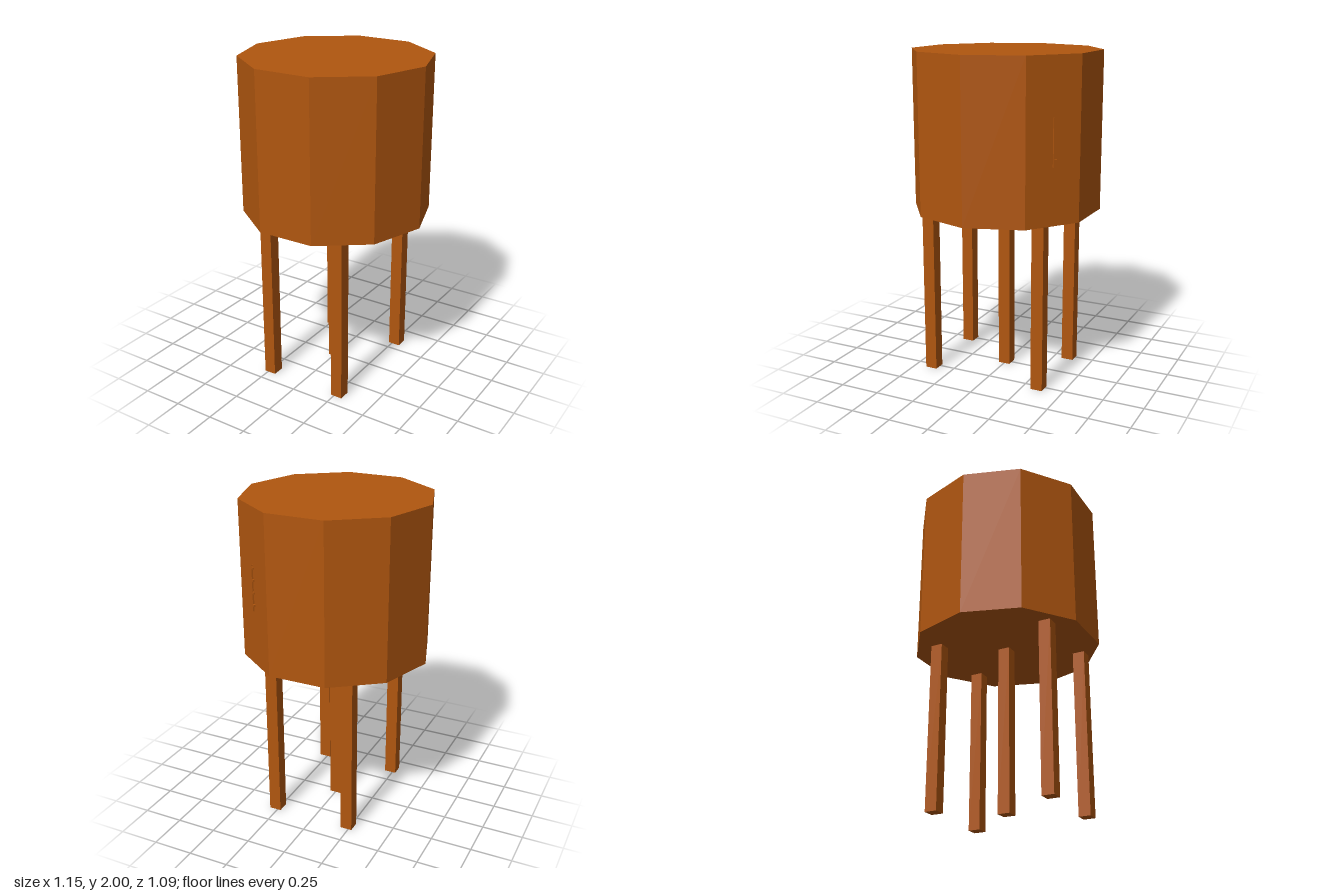
import * as THREE from 'three';

export function createModel() {
  const model = new THREE.Group();
  const wood = new THREE.MeshStandardMaterial({ color: 0xb0560f });
  wood.name = 'warm brown';

  function add(parent, name, geometry, x, y, z) {
    const mesh = new THREE.Mesh(geometry, wood);
    mesh.name = name;
    mesh.position.set(x, y, z);
    parent.add(mesh);
    return mesh;
  }

  // Ten-sided drum with corners on the x axis
  const radius = 0.575, bottom = 1.04, top = 2;
  const drum = new THREE.CylinderGeometry(radius, radius, top - bottom, 10, 1, false, Math.PI / 10).toNonIndexed();
  drum.computeVertexNormals();
  add(model, 'body', drum, 0, (top + bottom) / 2, 0);

  // Four outer legs and one in the middle
  const legGeometry = new THREE.BoxGeometry(0.075, bottom, 0.075);
  for (const x of [-0.234, 0.266]) {
    for (const z of [-0.343, 0.387]) add(model, 'outerLeg', legGeometry, x, bottom / 2, z);
  }
  add(model, 'centreLeg', legGeometry, 0, bottom / 2, 0);

  // Tiny raised comb on one rear side: a thin spine with short teeth
  const comb = new THREE.Group();
  comb.name = 'sideComb';
  const angle = Math.PI * 0.8;
  const apothem = radius * Math.cos(Math.PI / 10);
  comb.position.set(Math.sin(angle) * apothem, 1.52, Math.cos(angle) * apothem);
  comb.rotation.y = angle;
  add(comb, 'combSpine', new THREE.BoxGeometry(0.006, 0.28, 0.009), 0, 0, 0.0045);
  const tooth = new THREE.BoxGeometry(0.018, 0.012, 0.009);
  for (let i = 0; i < 4; i++) add(comb, 'combTooth', tooth, 0.01, 0.125 - i * 0.075, 0.0045);
  model.add(comb);

  return model;
}
